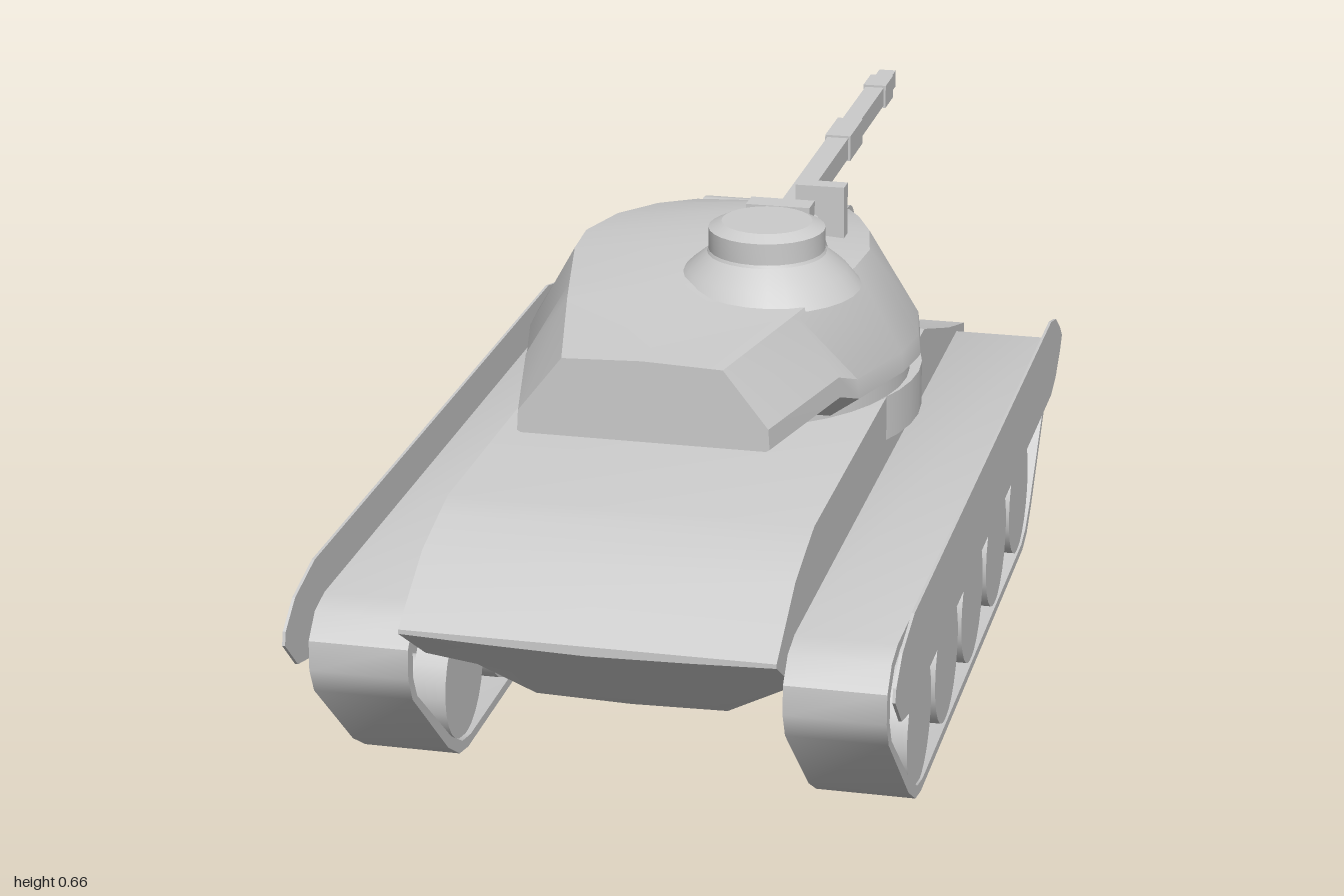
import * as THREE from 'three';
import { toCreasedNormals } from 'three/addons/utils/BufferGeometryUtils.js';

const grey = new THREE.MeshStandardMaterial({ color: 0xcccccc, side: THREE.DoubleSide });

function add(parent, name, geometry, x = 0, y = 0, z = 0) {
  const mesh = new THREE.Mesh(geometry, grey);
  mesh.name = name;
  mesh.position.set(x, y, z);
  parent.add(mesh);
  return mesh;
}

// Skin over sections ordered from -z to +z; each section is the +x half outline, bottom to top
function loft(sections, crease) {
  const rings = sections.map(({ z, half }) => {
    const mirrored = half.filter(p => p[0] > 0).reverse().map(([x, y]) => [-x, y]);
    return [...half, ...mirrored].map(([x, y]) => [x, y, z]);
  });
  const pos = [], n = rings[0].length, last = rings.length - 1;
  const tri = (...pts) => pts.forEach(p => pos.push(...p));
  for (let i = 0; i < last; i++) {
    for (let j = 0; j < n; j++) {
      const k = (j + 1) % n, a = rings[i], b = rings[i + 1];
      tri(a[j], a[k], b[k]);
      tri(a[j], b[k], b[j]);
    }
  }
  for (let j = 1; j < n - 1; j++) {
    tri(rings[last][0], rings[last][j], rings[last][j + 1]);
    tri(rings[0][0], rings[0][j + 1], rings[0][j]);
  }
  const g = new THREE.BufferGeometry();
  g.setAttribute('position', new THREE.Float32BufferAttribute(pos, 3));
  g.computeVertexNormals();
  return toCreasedNormals(g, crease);
}

// Side outline of [z, y] points extruded across x, centred on x = 0
function sideExtrude(points, width, hole) {
  const shape = new THREE.Shape(points.map(p => new THREE.Vector2(...p)));
  if (hole) shape.holes.push(new THREE.Path(hole.map(p => new THREE.Vector2(...p))));
  const g = new THREE.ExtrudeGeometry(shape, { depth: width, bevelEnabled: false });
  return g.rotateY(-Math.PI / 2).translate(width / 2, 0, 0);
}

export function createModel() {
  const model = new THREE.Group();
  model.name = 'tank';

  // Hull: z, deck height, lower side edge, belly height
  const hull = [
    [-0.37, 0.28, 0.262, 0.255], [-0.23, 0.32, 0.19, 0.125], [-0.02, 0.39, 0.19, 0.115],
    [0.76, 0.39, 0.19, 0.118], [0.8, 0.38, 0.19, 0.142], [0.875, 0.36, 0.215, 0.2],
    [0.985, 0.295, 0.289, 0.285],
  ].map(([z, top, side, belly]) => ({ z, half: [[0, belly - 0.003], [0.13, belly], [0.245, side], [0.245, top]] }));
  add(model, 'hull', loft(hull, 0.3));

  // Running gear, mirrored on both sides
  const trackLine = [
    [0.7, 0], [0.74, 0.008], [0.79, 0.04], [0.935, 0.175], [0.95, 0.21], [0.948, 0.25], [0.92, 0.28], [0.88, 0.29],
    [-0.3, 0.29], [-0.34, 0.275], [-0.362, 0.245], [-0.365, 0.2], [-0.35, 0.17], [-0.225, 0.04], [-0.19, 0.012], [-0.15, 0],
  ];
  const trackInner = trackLine.map(([z, y]) => [0.29 + (z - 0.29) * 0.97, 0.145 + (y - 0.145) * 0.91]);
  const skirtLine = [
    [0.9, 0.205], [0.95, 0.217], [0.995, 0.262], [0.99, 0.28], [0.95, 0.31], [0.87, 0.33],
    [-0.26, 0.33], [-0.31, 0.318], [-0.355, 0.29], [-0.38, 0.268], [-0.365, 0.25], [-0.325, 0.22], [-0.28, 0.205],
  ];
  const disc = new THREE.CylinderGeometry(0.088, 0.088, 0.045, 24).rotateZ(Math.PI / 2);
  const axle = new THREE.CylinderGeometry(0.025, 0.025, 0.1, 12).rotateZ(Math.PI / 2);
  for (const s of [1, -1]) {
    const side = new THREE.Group();
    side.name = s > 0 ? 'leftRunningGear' : 'rightRunningGear';
    model.add(side);
    add(side, 'track', toCreasedNormals(sideExtrude(trackLine, 0.133, trackInner), 0.6), s * 0.3115);
    add(side, 'sideSkirt', sideExtrude(skirtLine, 0.004), s * 0.395);
    for (let i = 0; i < 5; i++) {
      const z = 0.7 - i * 0.205;
      add(side, 'outerRoadWheel', disc, s * 0.352, 0.1, z);
      add(side, 'innerRoadWheel', disc, s * 0.275, 0.1, z - 0.015);
      add(side, 'wheelAxle', axle, s * 0.31, 0.1, z - 0.008);
    }
  }

  // Turret ring, bulging a little past the hull sides
  add(model, 'turretRingBase', new THREE.CylinderGeometry(0.27, 0.27, 0.065, 40), 0, 0.358, 0.16);
  add(model, 'turretRing', new THREE.CylinderGeometry(0.258, 0.258, 0.04, 40), 0, 0.4, 0.19);

  // Turret body: z, bottom width and height, belt width and height, roof width and edge height, crown
  const turret = [
    [-0.15, 0.09, 0.445, 0.12, 0.475, 0.09, 0.52, 0.525],
    [-0.1, 0.12, 0.425, 0.15, 0.46, 0.115, 0.54, 0.545],
    [0, 0.17, 0.412, 0.21, 0.44, 0.15, 0.562, 0.575],
    [0.1, 0.21, 0.41, 0.26, 0.43, 0.185, 0.575, 0.592],
    [0.2, 0.225, 0.41, 0.279, 0.43, 0.205, 0.58, 0.596],
    [0.28, 0.22, 0.41, 0.27, 0.432, 0.2, 0.58, 0.596],
    [0.42, 0.195, 0.412, 0.235, 0.44, 0.17, 0.576, 0.588],
    [0.475, 0.18, 0.455, 0.22, 0.461, 0.158, 0.574, 0.58],
    [0.688, 0.165, 0.458, 0.17, 0.461, 0.108, 0.566, 0.57],
  ].map(([z, wb, yb, w, ym, wr, ye, yt]) => ({
    z, half: [[0, yb], [wb, yb], [w, ym], [w * 0.99, ym + 0.028], [wr, ye], [0, yt]],
  }));
  add(model, 'turret', loft(turret, 0.5));

  // Mantlet with curved hood
  add(model, 'mantlet', new THREE.CylinderGeometry(0.055, 0.055, 0.22, 20).rotateZ(Math.PI / 2), 0, 0.482, -0.12);
  const hood = new THREE.CylinderGeometry(0.068, 0.068, 0.23, 12, 1, true, Math.PI * 0.95, Math.PI * 0.55);
  hood.rotateZ(Math.PI / 2).rotateX(-0.15);
  add(model, 'mantletHood', hood, 0.005, 0.482, -0.115);

  // Gun barrel in square sections: near end, far end, thickness
  for (const [name, z0, z1, t] of [
    ['barrelRear', -0.15, -0.58, 0.034], ['boreSleeve', -0.58, -0.68, 0.041],
    ['barrelFront', -0.68, -0.885, 0.031], ['muzzleBrake', -0.885, -0.95, 0.038], ['muzzleTip', -0.95, -1, 0.028],
  ]) add(model, name, new THREE.BoxGeometry(t, t, z0 - z1), 0, 0.485, (z0 + z1) / 2);

  // Commander's cupola, periscope hood and sight box
  const profile = [[0.13, 0.57], [0.11, 0.595], [0.082, 0.618], [0.08, 0.622], [0.08, 0.652], [0.062, 0.661], [0, 0.661]];
  const cupola = new THREE.LatheGeometry(profile.map(p => new THREE.Vector2(...p)), 28);
  add(model, 'cupola', toCreasedNormals(cupola, 0.4), 0.09, 0, 0.345);
  add(model, 'periscopeHood', new THREE.CylinderGeometry(0.055, 0.07, 0.05, 16), 0.09, 0.612, 0.265);
  add(model, 'periscope', new THREE.BoxGeometry(0.09, 0.02, 0.035), 0.09, 0.65, 0.26);
  add(model, 'sightBox', new THREE.BoxGeometry(0.07, 0.075, 0.026), 0.125, 0.618, 0.148);

  // Row of blocks on the right of the glacis, curving around the turret
  for (let i = 0; i < 6; i++) {
    const a = 0.27 + i * 0.125, r = 0.345;
    const block = add(model, 'glacisBlock', new THREE.BoxGeometry(0.036, 0.04, 0.03),
      -Math.sin(a) * r, 0.36, 0.19 - Math.cos(a) * r);
    block.rotation.y = a;
  }
  return model;
}
